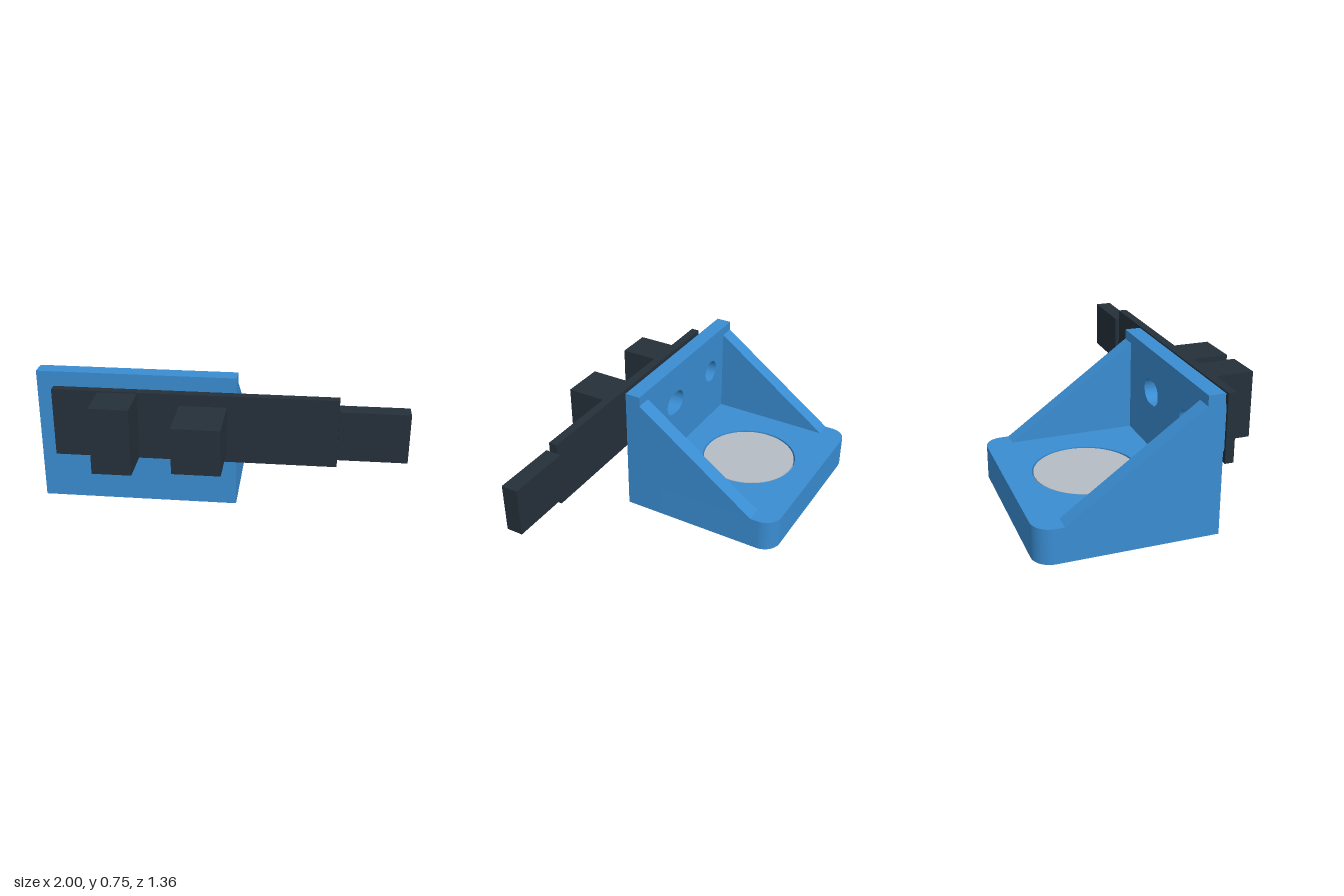
import * as THREE from 'three';
import { toCreasedNormals } from 'three/addons/utils/BufferGeometryUtils.js';

const blue = new THREE.MeshStandardMaterial({ name: 'bracketBlue', color: 0x3a8dd2 });
const dark = new THREE.MeshStandardMaterial({ name: 'darkSlate', color: 0x25303a });
const silver = new THREE.MeshStandardMaterial({ name: 'silver', color: 0xb5bcc5 });

export function createModel() {
  const model = new THREE.Group();
  model.name = 'sensorBracket';

  const add = (name, geometry, material) => {
    const mesh = new THREE.Mesh(geometry, material);
    mesh.name = name;
    model.add(mesh);
    return mesh;
  };

  // Box given by its limits on each axis
  const box = (name, material, [x0, x1], [y0, y1], [z0, z1]) =>
    add(name, new THREE.BoxGeometry(x1 - x0, y1 - y0, z1 - z0), material)
      .position.set((x0 + x1) / 2, (y0 + y1) / 2, (z0 + z1) / 2);

  const extrude = (shape, depth) =>
    new THREE.ExtrudeGeometry(shape, { depth, bevelEnabled: false, curveSegments: 24 });

  const rect = (x0, x1, y0, y1) => new THREE.Shape([
    new THREE.Vector2(x0, y0), new THREE.Vector2(x1, y0),
    new THREE.Vector2(x1, y1), new THREE.Vector2(x0, y1),
  ]);

  // Slot with rounded ends; a half length of 0 makes a round hole
  const slot = ({ x, half }) => {
    const y = 0.515, r = 0.068;
    const path = new THREE.Path();
    path.absarc(x + half, y, r, -Math.PI / 2, Math.PI / 2);
    path.absarc(x - half, y, r, Math.PI / 2, Math.PI * 1.5);
    path.closePath();
    return path;
  };
  const mounts = [
    { x: -0.75, half: 0, x0: -0.87, x1: -0.63 },
    { x: -0.308, half: 0.025, x0: -0.46, x1: -0.155 },
  ];

  // Base plate with rounded rear corners and a round pocket
  const baseShape = () => {
    const s = new THREE.Shape();
    s.moveTo(-1, -0.175);
    s.lineTo(0.09, -0.175);
    s.lineTo(0.09, 0.58);
    s.absarc(-0.01, 0.58, 0.1, 0, Math.PI / 2);
    s.lineTo(-0.9, 0.68);
    s.absarc(-0.9, 0.58, 0.1, Math.PI / 2, Math.PI);
    s.closePath();
    return s;
  };
  const pocketed = baseShape();
  pocketed.holes.push(new THREE.Path().absarc(-0.457, 0.255, 0.281, 0, Math.PI * 2, true));
  const floor = 0.06, top = 0.19;
  const layBase = (name, shape, y, depth) =>
    add(name, toCreasedNormals(extrude(shape, depth).rotateX(-Math.PI / 2), 0.5), blue).position.y = y;
  layBase('baseFloor', baseShape(), 0, floor);
  layBase('basePlate', pocketed, floor, top - floor);

  // Magnet disc sunk in the pocket
  add('magnetDisc', new THREE.CylinderGeometry(0.273, 0.273, 0.126, 64), silver)
    .position.set(-0.457, 0.124, -0.255);

  // Upright wall with the two screw holes
  const wall = rect(-1, 0.09, 0, 0.755);
  mounts.forEach((m) => wall.holes.push(slot(m)));
  add('wall', toCreasedNormals(extrude(wall, 0.09), 0.5), blue).position.z = 0.175;

  // Sloping side gussets
  const gusset = new THREE.Shape([
    new THREE.Vector2(-0.535, top), new THREE.Vector2(0.175, top), new THREE.Vector2(0.175, 0.7),
  ]);
  for (const [name, x] of [['rightGusset', -0.91], ['leftGusset', 0.09]]) {
    add(name, extrude(gusset, 0.09).rotateY(-Math.PI / 2), blue).position.x = x;
  }

  // Standoffs with an underside that slopes down to the wall
  mounts.forEach((m) => {
    const shape = rect(m.x0, m.x1, 0.39, 0.635);
    shape.holes.push(slot(m));
    const geometry = extrude(shape, 0.075);
    const p = geometry.attributes.position;
    for (let i = 0; i < p.count; i++) {
      if (p.getY(i) < 0.4 && p.getZ(i) < 0.01) p.setY(i, 0.315);
    }
    add('standoff', toCreasedNormals(geometry, 0.5), blue).position.z = 0.265;
  });

  // Sensor board with its connector blocks and tip
  box('board', dark, [-0.885, 0.635], [0.322, 0.702], [0.34, 0.388]);
  box('boardTip', dark, [0.635, 1], [0.375, 0.648], [0.318, 0.41]);
  box('tallBlock', dark, [-0.635, -0.425], [0.327, 0.696], [0.388, 0.608]);
  box('squareBlock', dark, [-0.203, 0.05], [0.387, 0.638], [0.388, 0.68]);

  return model;
}
